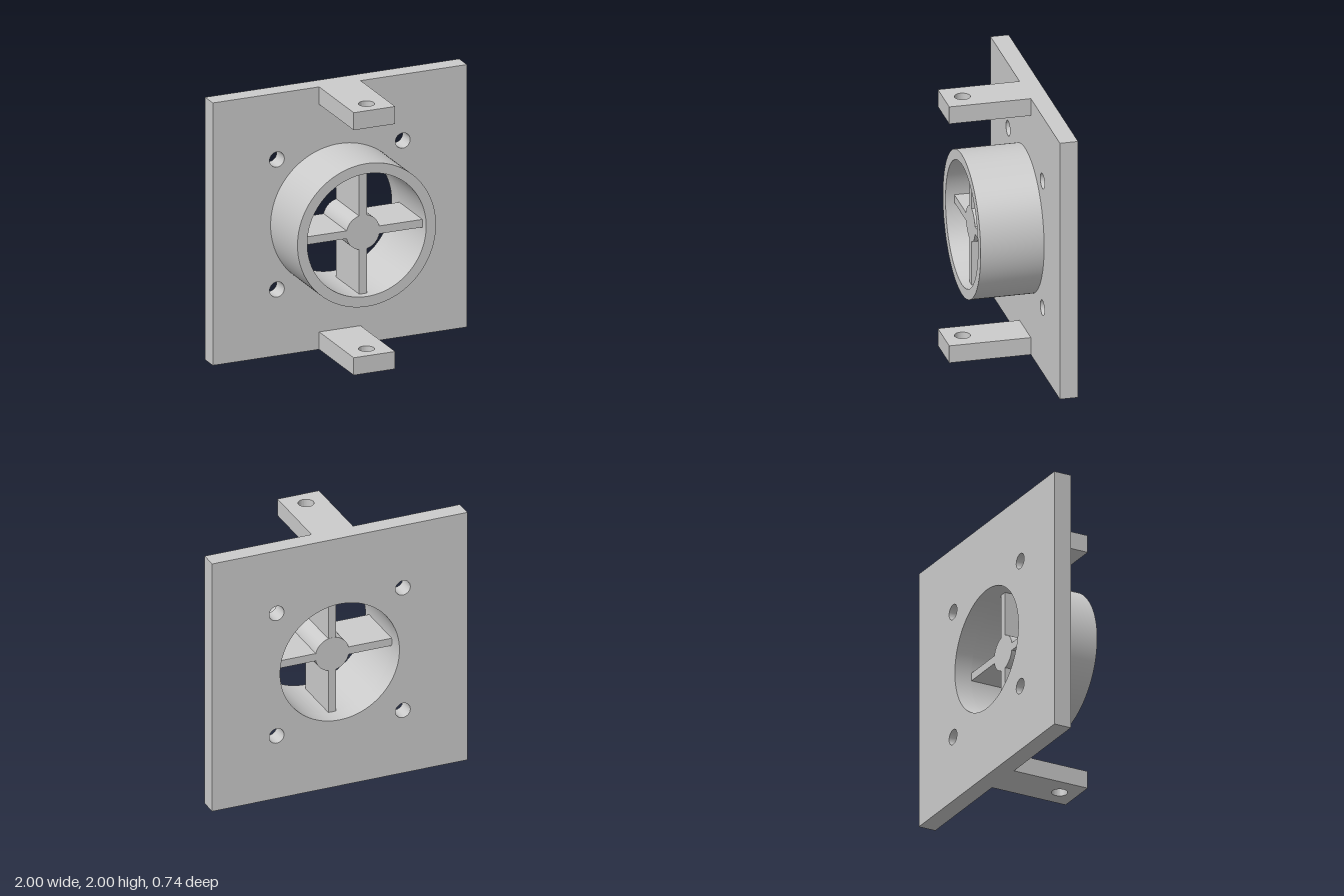
import * as THREE from 'three';
import { toCreasedNormals } from 'three/addons/utils/BufferGeometryUtils.js';

const material = new THREE.MeshStandardMaterial({ color: 0xcccccc });
const BACK = -0.37, PLATE_FRONT = -0.235, RING_FRONT = 0.235, SPOKE_FRONT = 0.17, TAB_FRONT = 0.37;
const BORE = 0.468, HUB = 0.132;

const circle = (Type, x, y, r) => new Type().absarc(x, y, r, 0, Math.PI * 2, false);

function rectangle(x0, y0, x1, y1) {
  return new THREE.Shape([
    new THREE.Vector2(x0, y0), new THREE.Vector2(x1, y0),
    new THREE.Vector2(x1, y1), new THREE.Vector2(x0, y1),
  ]);
}

// Extrude a shape along z, with smooth curved walls and sharp rims
function extrude(shape, z0, z1) {
  const geometry = new THREE.ExtrudeGeometry(shape, { depth: z1 - z0, bevelEnabled: false, curveSegments: 48 });
  geometry.translate(0, 0, z0);
  return toCreasedNormals(geometry, Math.PI / 6);
}

export function createModel() {
  const group = new THREE.Group();
  const add = (name, geometry, y = 1) => {
    const mesh = new THREE.Mesh(geometry, material);
    mesh.name = name;
    mesh.position.y = y;
    group.add(mesh);
    return mesh;
  };

  // Square plate with central bore and four bolt holes
  const plate = rectangle(-1, -1, 1, 1);
  plate.holes.push(circle(THREE.Path, 0, 0, BORE));
  for (const x of [-0.495, 0.495])
    for (const y of [-0.495, 0.495]) plate.holes.push(circle(THREE.Path, x, y, 0.058));
  add('mountingPlate', extrude(plate, BACK, PLATE_FRONT));

  // Duct ring on the front of the plate
  const ring = circle(THREE.Shape, 0, 0, 0.545);
  ring.holes.push(circle(THREE.Path, 0, 0, BORE));
  add('ductRing', extrude(ring, PLATE_FRONT, RING_FRONT));

  // Solid hub and four spokes, recessed inside the ring
  add('hub', extrude(circle(THREE.Shape, 0, 0, HUB), PLATE_FRONT, SPOKE_FRONT));
  const spoke = extrude(rectangle(HUB - 0.02, -0.03, BORE + 0.02, 0.03), PLATE_FRONT + 0.001, SPOKE_FRONT);
  for (let i = 0; i < 4; i++) add('spoke', spoke).rotation.z = i * Math.PI / 2;

  // Top and bottom tabs, each with a vertical hole; shape y becomes -z
  const tab = rectangle(-0.163, -TAB_FRONT, 0.163, -PLATE_FRONT);
  tab.holes.push(circle(THREE.Path, 0, -0.23, 0.058));
  const tabGeometry = extrude(tab, 0, 0.133).rotateX(-Math.PI / 2);
  add('bottomTab', tabGeometry, 0);
  add('topTab', tabGeometry, 2 - 0.133);

  return group;
}
